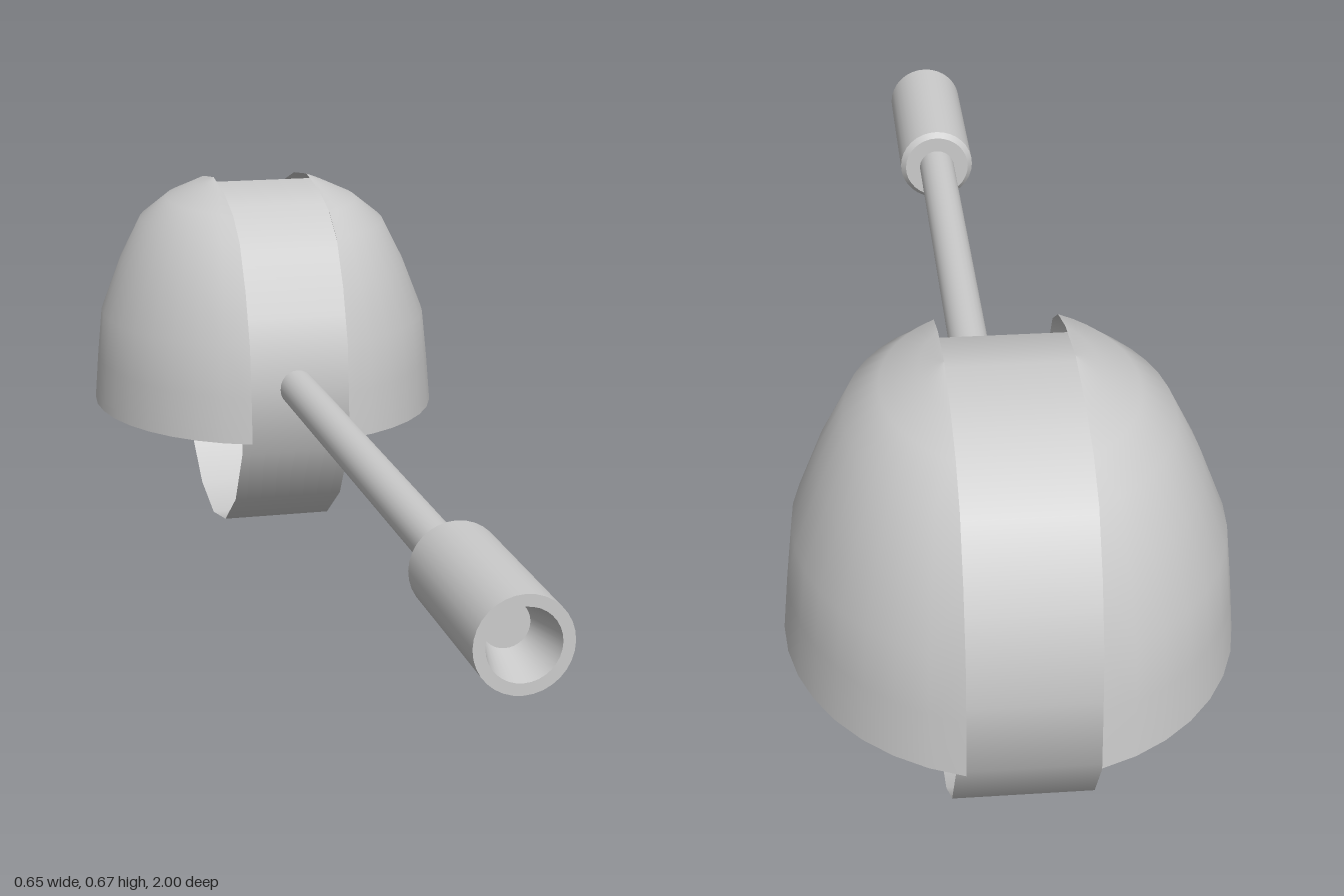
import * as THREE from 'three';

const CY = 0.328, CZ = -0.65;

// Half dome: horizontal arcs [height, half width in x, half depth at the cut], stacked upward
const LEVELS = [
  [0.235, 0.323, 0.35], [0.32, 0.316, 0.345], [0.41, 0.307, 0.335], [0.505, 0.27, 0.3],
  [0.585, 0.23, 0.25], [0.625, 0.18, 0.19], [0.65, 0.125, 0.11], [0.665, 0.09, 0],
];

function halfDome(side) {
  const steps = 16, cut = 0.09, pos = [], index = [];
  for (const [y, hx, hz] of LEVELS) {
    const start = Math.asin(Math.min(1, cut / hx));
    for (let i = 0; i <= steps; i++) {
      const t = start + (Math.PI - 2 * start) * i / steps;
      const z = hz === 0 ? 0 : hz * Math.cos(t) / Math.cos(start);
      pos.push(side * hx * Math.sin(t), y, CZ + z);
    }
  }
  const row = steps + 1;
  for (let j = 0; j < LEVELS.length - 1; j++) {
    for (let i = 0; i < steps; i++) {
      const a = j * row + i, b = a + 1, c = a + row, d = c + 1;
      if (side > 0) index.push(a, b, d, a, d, c);
      else index.push(a, d, b, a, c, d);
    }
  }
  const geo = new THREE.BufferGeometry();
  geo.setAttribute('position', new THREE.Float32BufferAttribute(pos, 3));
  geo.setIndex(index);
  geo.computeVertexNormals();
  return geo;
}

export function createModel() {
  const group = new THREE.Group();
  const solid = new THREE.MeshStandardMaterial({ color: 0xcccccc });
  const thin = new THREE.MeshStandardMaterial({ color: 0xcccccc, side: THREE.DoubleSide });

  const add = (name, geometry, material) => {
    const mesh = new THREE.Mesh(geometry, material);
    mesh.name = name;
    group.add(mesh);
    return mesh;
  };

  // Open band that forms the wheel
  const band = new THREE.CylinderGeometry(CY, CY, 0.2, 16, 1, true);
  band.rotateZ(Math.PI / 2);
  add('wheelBand', band, thin).position.set(0, CY, CZ);

  // Shells on both sides of the wheel
  add('leftShell', halfDome(1), thin);
  add('rightShell', halfDome(-1), thin);

  // Rod reaching into the wheel
  const rod = new THREE.CylinderGeometry(0.033, 0.033, 1.17, 24);
  rod.rotateX(Math.PI / 2);
  add('rod', rod, solid).position.set(0, CY, 0.135);

  // Grip with a bevelled back and a tapered hollow in its end; corners doubled to stay sharp
  const profile = [
    [0, 0.68], [0.06, 0.68], [0.06, 0.68], [0.069, 0.69], [0.069, 0.69], [0.069, 1], [0.069, 1],
    [0.052, 1], [0.052, 1], [0.034, 0.92], [0.034, 0.92], [0, 0.92],
  ].map(([r, z]) => new THREE.Vector2(r, z));
  const grip = new THREE.LatheGeometry(profile, 32);
  grip.rotateX(Math.PI / 2);
  add('grip', grip, thin).position.set(0, CY, 0);

  return group;
}
